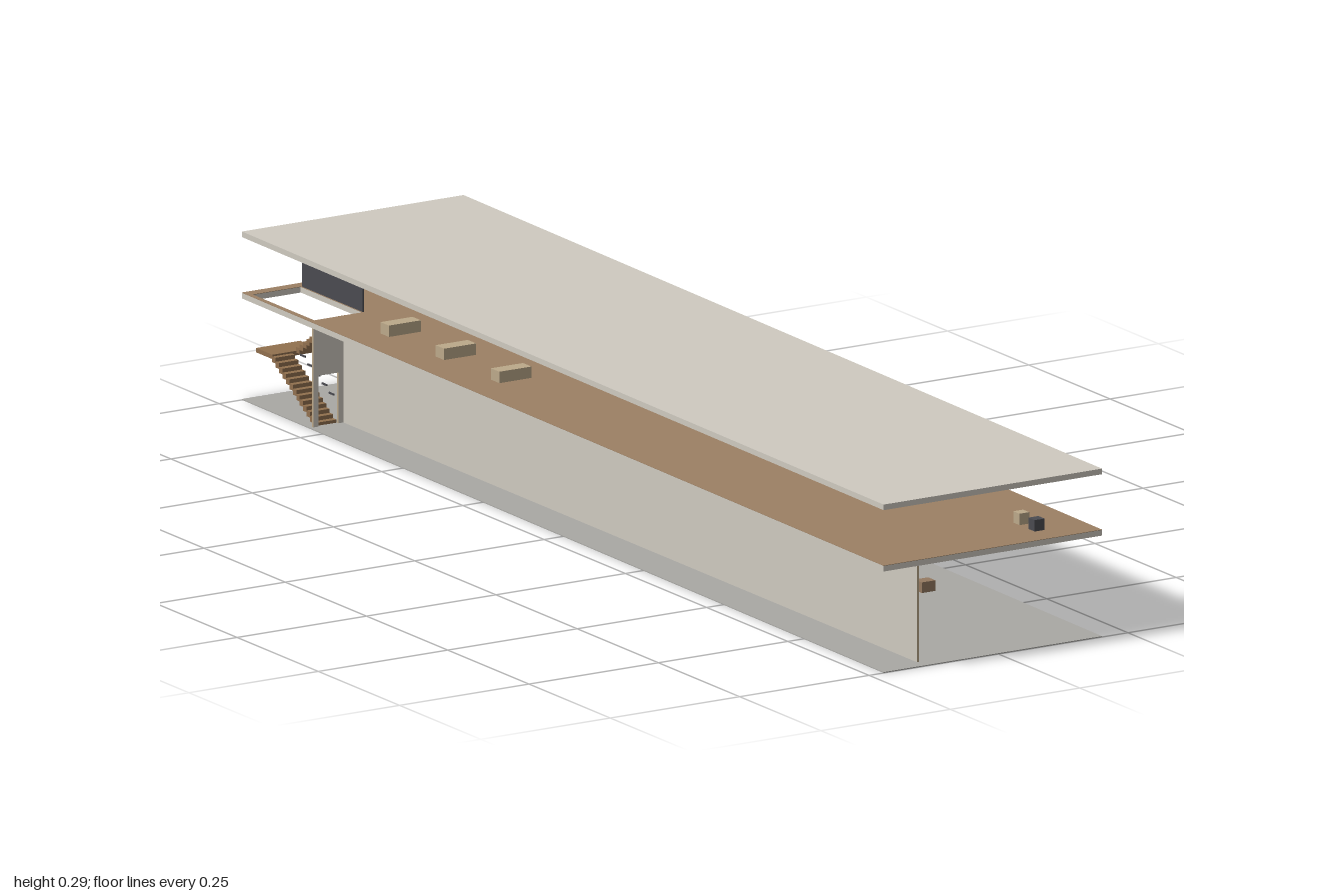
import * as THREE from 'three';

const mat = (name, color) => {
  const m = new THREE.MeshStandardMaterial({ color });
  m.name = name;
  return m;
};

export function createModel() {
  const plaster = mat('plaster', 0xcfcac0);
  const groundGrey = mat('ground grey', 0xa9a8a4);
  const wood = mat('wood floor', 0x9c8064);
  const tan = mat('tan', 0xbca98a);
  const brown = mat('stair brown', 0x92714f);
  const crate = mat('seat brown', 0x957a61);
  const dark = mat('dark', 0x4b4b51);

  const model = new THREE.Group();
  model.name = 'twoStoreyPavilion';

  const add = (name, geometry, material, parent = model) => {
    const mesh = new THREE.Mesh(geometry, material);
    mesh.name = name;
    parent.add(mesh);
    return mesh;
  };
  // Box given by its extents on each axis
  const box = (name, [x0, x1], [y0, y1], [z0, z1], material, parent) => {
    const mesh = add(name, new THREE.BoxGeometry(x1 - x0, y1 - y0, z1 - z0), material, parent);
    mesh.position.set((x0 + x1) / 2, (y0 + y1) / 2, (z0 + z1) / 2);
    return mesh;
  };
  const polygon = (pts) => pts.map(([x, y]) => new THREE.Vector2(x, y));

  // Slightly skewed slabs; shape y is -z
  const slab = (name, y0, y1, material, hole) => {
    const shape = new THREE.Shape(polygon([[-0.222, -1], [0.2, -1], [0.222, 1], [-0.206, 1]]));
    if (hole) shape.holes.push(new THREE.Path(polygon(hole)));
    const g = new THREE.ExtrudeGeometry(shape, { depth: y1 - y0, bevelEnabled: false });
    g.rotateX(-Math.PI / 2);
    g.translate(0, y0, 0);
    return add(name, g, material);
  };
  const stairWell = [[-0.198, 0.79], [-0.198, 0.98], [-0.105, 0.98], [-0.105, 0.79]];
  slab('ground', 0, 0.0015, groundGrey);
  slab('upperFloorSlab', 0.172, 0.1815, plaster, stairWell);
  slab('upperFloorFinish', 0.1815, 0.1822, wood, stairWell);
  slab('roofSlab', 0.276, 0.2855, plaster);

  // Cross walls with a doorway, tan on the cut edges
  const crossWall = (name, x0, x1, d0, d1, z) => {
    const h = 0.172, d = 0.0875;
    const shape = new THREE.Shape(polygon([
      [x0, 0], [d0, 0], [d0, d], [d1, d], [d1, 0], [x1, 0], [x1, h], [x0, h],
    ]));
    const g = new THREE.ExtrudeGeometry(shape, { depth: 0.004, bevelEnabled: false });
    g.translate(0, 0, z - 0.002);
    add(name, g, [plaster, tan]);
  };
  crossWall('rearWall', -0.098, 0.2, -0.028, 0.01, -0.73);
  crossWall('stairWall', -0.201, -0.103, -0.191, -0.153, -0.79);

  // Long wall along the building, tan at its ends
  box('longWall', [-0.143, -0.139], [0, 0.172], [-0.788, 0.977],
    [plaster, plaster, tan, tan, tan, tan]);

  // Two stair flights meeting at a landing
  const stairs = new THREE.Group();
  stairs.name = 'stairs';
  model.add(stairs);
  const steps = 13, going = 0.138 / steps, rise = 0.0875 / steps;
  const flight = (name, xs, yStart, direction, zStart) => {
    for (let i = 0; i < steps; i++) {
      const z = zStart + direction * going * i;
      const y = yStart + rise * i;
      box(name, xs, [Math.max(0, y - 0.003), y + rise],
        [Math.min(z, z + direction * going), Math.max(z, z + direction * going)], brown, stairs);
    }
  };
  flight('lowerStep', [-0.191, -0.153], 0, -1, -0.793);
  flight('upperStep', [-0.145, -0.106], 0.0905, 1, -0.931);
  box('landing', [-0.191, -0.106], [0.083, 0.0905], [-0.98, -0.93], brown, stairs);
  for (let i = 0; i < 5; i++) {
    const z = -0.81 - i * 0.022;
    box('stairRailSlat', [-0.153, -0.151], [0.045 + i * 0.011, 0.048 + i * 0.011], [z - 0.008, z + 0.008], dark, stairs);
  }

  // Guard panel beside the stair well
  box('guardPanel', [-0.1035, -0.101], [0.182, 0.224], [-0.978, -0.792], dark);

  // Upper floor furniture
  const top = [0.182, 0.2015];
  for (const z of [-0.65, -0.48, -0.31]) {
    box('table', [-0.15, -0.088], top, [z - 0.013, z + 0.013], tan);
    box('table', [-0.002, 0.061], top, [z - 0.013, z + 0.013], tan);
  }
  for (const z of [-0.478, -0.535, -0.582, -0.63, -0.675]) {
    box('seat', [0.178, 0.197], top, [z - 0.009, z + 0.009], dark);
  }
  box('frontSeat', [0.1, 0.119], top, [0.933, 0.952], dark);
  box('frontTable', [0.1, 0.119], top, [0.886, 0.905], tan);

  // Ground floor seats
  for (const [x, z] of [[0.106, 0.605], [-0.074, -0.045], [-0.065, -0.15], [-0.055, -0.215]]) {
    box('groundSeat', [x - 0.013, x + 0.013], [0.001, 0.0195], [z - 0.011, z + 0.011], crate);
  }
  return model;
}
